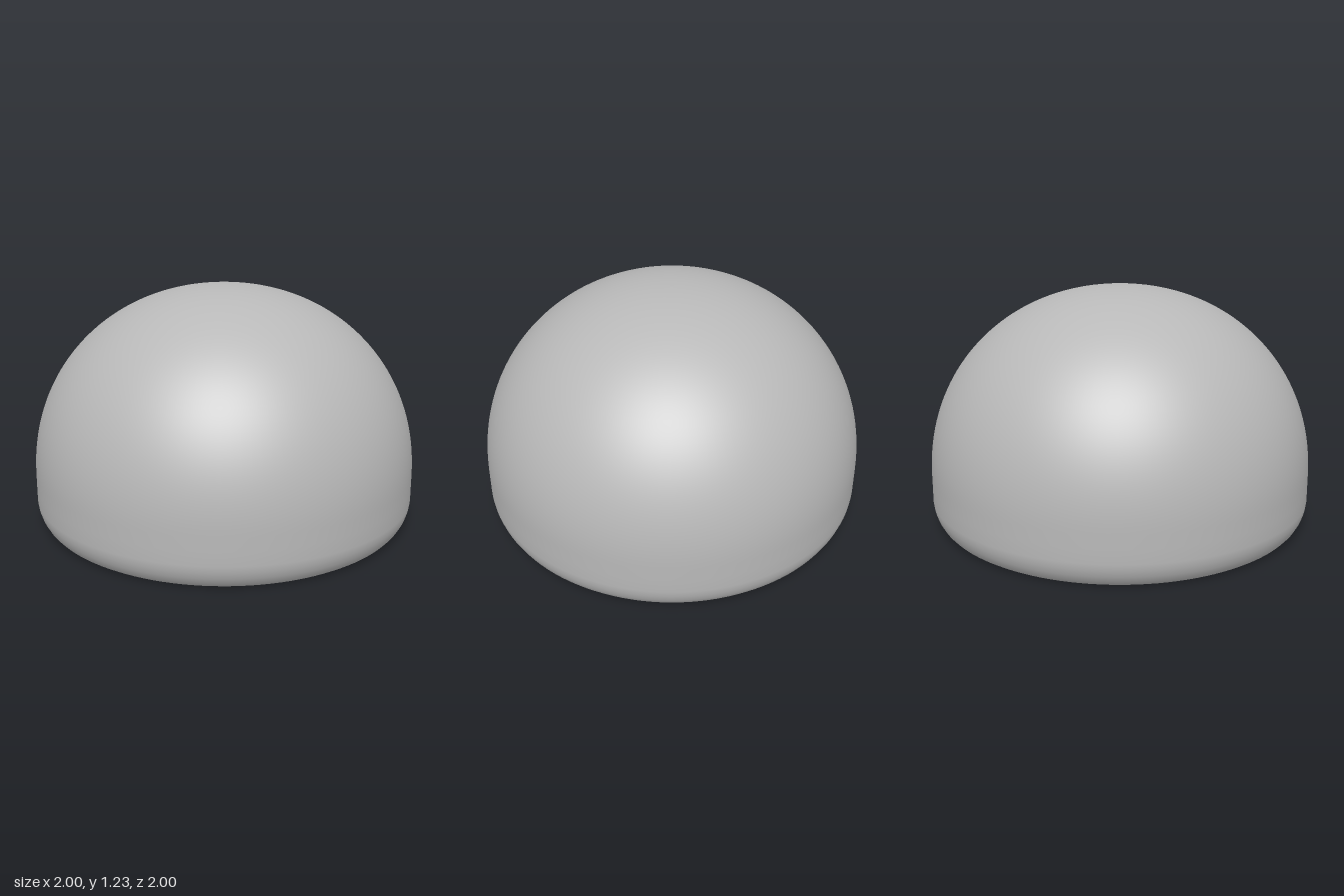
import * as THREE from 'three';

export function createModel() {
  const model = new THREE.Group();
  const grey = new THREE.MeshStandardMaterial({ color: 0xb8b8b8 });
  grey.name = 'plain grey';

  const add = (name, geometry, parent = model) => {
    const mesh = new THREE.Mesh(geometry, grey);
    mesh.name = name;
    parent.add(mesh);
    return mesh;
  };
  // Each pair is [radius, height]; profiles run upward outside, downward inside
  const turn = (name, profile, parent) =>
    add(name, new THREE.LatheGeometry(profile.map(([r, y]) => new THREE.Vector2(r, y)), 128), parent);

  // Outer shell: rounded foot, short straight band, full dome
  const outer = [[0.93, 0], [0.95, 0.013], [0.968, 0.033], [0.984, 0.062], [0.995, 0.095], [1, 0.13], [1, 0.2]];
  for (let i = 0; i <= 40; i++) {
    const a = (i / 40) * Math.PI / 2;
    const e = 2 / 2.08;
    outer.push([i === 40 ? 0 : Math.cos(a) ** e, 0.27 + 0.96 * Math.sin(a) ** e]);
  }
  turn('domeShell', outer);

  // Hollow inside, one turned surface between each pair of sharp corners
  const cavity = new THREE.Group();
  cavity.name = 'cavity';
  model.add(cavity);
  const corners = [
    ['ceiling', 0, 1.05], ['ceilingCone', 0.42, 1.05], ['boreWall', 0.87, 0.6],
    ['threadRelief', 0.87, 0.175], ['threadSeat', 0.895, 0.165],
    ['mouthStep', 0.895, 0.05], ['mouthWall', 0.905, 0.045], ['rim', 0.905, 0], ['', 0.93, 0],
  ];
  for (let i = 0; i < corners.length - 1; i++) {
    turn(corners[i][0], [corners[i].slice(1), corners[i + 1].slice(1)], cavity);
  }

  // Screw thread inside the mouth
  const turns = 2;
  const path = [];
  for (let i = 0; i <= 96; i++) {
    const a = (i / 96) * turns * Math.PI * 2;
    path.push(new THREE.Vector3(Math.cos(a) * 0.893, 0.068 + 0.08 * i / 96, Math.sin(a) * 0.893));
  }
  add('screwThread', new THREE.TubeGeometry(new THREE.CatmullRomCurve3(path), 256, 0.014, 6));

  // Four stiffening ribs under the ceiling
  const ribShape = new THREE.Shape([
    [0.79, 0.69], [0.42, 1.06], [0, 1.06], [0, 0.82], [0.4, 0.8],
  ].map(([x, y]) => new THREE.Vector2(x, y)));
  const ribGeometry = new THREE.ExtrudeGeometry(ribShape, { depth: 0.05, bevelEnabled: false });
  ribGeometry.translate(0, 0, -0.025);
  for (let i = 0; i < 4; i++) {
    add('ceilingRib', ribGeometry).rotation.y = i * Math.PI / 2;
  }
  return model;
}
